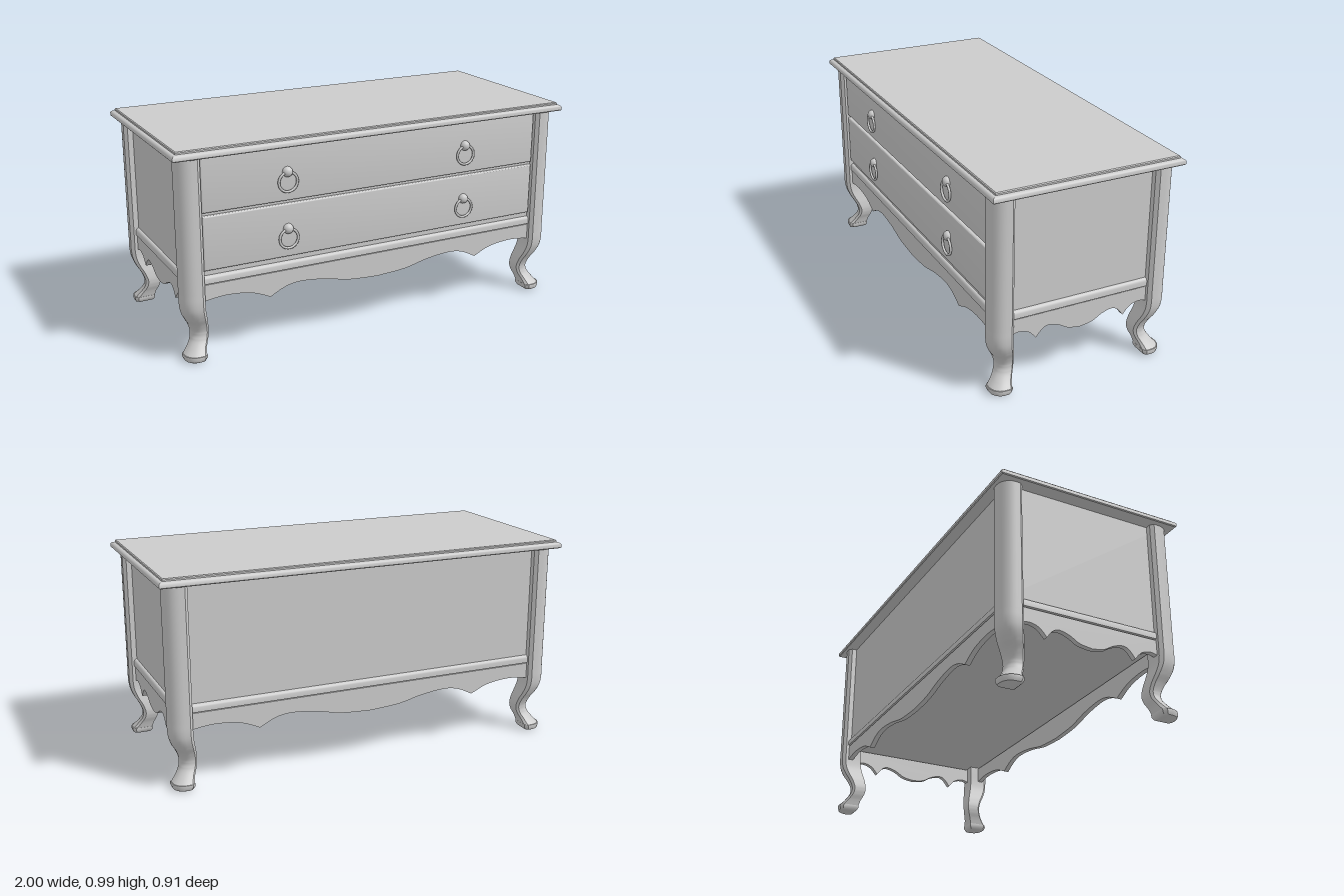
import * as THREE from 'three';
import { toCreasedNormals } from 'three/addons/utils/BufferGeometryUtils.js';

const material = new THREE.MeshStandardMaterial({ color: 0xcccccc });

function add(parent, name, geometry, x = 0, y = 0, z = 0) {
  const mesh = new THREE.Mesh(geometry, material);
  mesh.name = name;
  mesh.position.set(x, y, z);
  parent.add(mesh);
  return mesh;
}

// Skin over rings of [x, y, z] points, rising in y, each counter-clockwise from above
function loft(rings) {
  const n = rings[0].length, index = [];
  for (let i = 0; i < rings.length - 1; i++) {
    for (let j = 0; j < n; j++) {
      const a = i * n + j, b = i * n + (j + 1) % n;
      index.push(a, b, b + n, a, b + n, a + n);
    }
  }
  const top = (rings.length - 1) * n;
  for (let j = 1; j < n - 1; j++) {
    index.push(0, j + 1, j, top, top + j, top + j + 1);
  }
  const geometry = new THREE.BufferGeometry();
  geometry.setAttribute('position', new THREE.Float32BufferAttribute(rings.flat(2), 3));
  geometry.setIndex(index);
  return toCreasedNormals(geometry, 0.6);
}

// Rectangular slab with a moulded edge; profile lists [y, inset]
function mouldedSlab(hx, hz, profile) {
  return loft(profile.map(([y, d]) => {
    const x = hx - d, z = hz - d;
    return [[-x, y, -z], [-x, y, z], [x, y, z], [x, y, -z]];
  }));
}

// Leg section in a unit square: rounded outer corner, chamfered inner edges
const legSection = [[0, 0], [0, 0.85], [0.15, 1]];
for (let k = 0; k <= 6; k++) {
  const a = (Math.PI / 2) * (1 - k / 6);
  legSection.push([0.4 + 0.6 * Math.cos(a), 0.4 + 0.6 * Math.sin(a)]);
}
legSection.push([1, 0.15], [0.85, 0]);

// Ring of the leg section between an inner and an outer offset
const legRing = (inner, y, outer) =>
  legSection.map(([u, v]) => [inner + (outer - inner) * u, y, inner + (outer - inner) * v]);

function legGeometry() {
  // Points are (inner offset, height, outer offset)
  const curve = new THREE.CatmullRomCurve3([
    [-0.1, 0.03, -0.008], [-0.109, 0.06, -0.033], [-0.122, 0.09, -0.051],
    [-0.127, 0.12, -0.055], [-0.122, 0.16, -0.042], [-0.112, 0.2, -0.02],
    [-0.103, 0.24, -0.005], [-0.1, 0.28, 0], [-0.1, 0.33, 0],
  ].map(p => new THREE.Vector3(...p)));
  const rings = curve.getPoints(32).map(p => legRing(p.x, p.y, p.z));
  rings.push(legRing(-0.1, 0.95, 0));
  return loft(rings);
}

// Scalloped apron board, centred on x, with a cusp either side of the middle
function apronGeometry(half, thickness) {
  const arch = [[1, 0.28], [0.87, 0.293], [0.73, 0.28], [0.625, 0.242]];
  const wave = [[0.625, 0.242], [0.54, 0.278], [0.45, 0.29], [0.31, 0.277], [0.17, 0.25], [0, 0.24]];
  const spline = (points, steps) =>
    new THREE.SplineCurve(points.map(([t, y]) => new THREE.Vector2(t * half, y))).getPoints(steps);
  const right = [...spline(arch, 12), ...spline(wave, 20).slice(1)];
  const left = right.slice(0, -1).reverse().map(p => new THREE.Vector2(-p.x, p.y));
  const shape = new THREE.Shape([
    new THREE.Vector2(half, 0.358), ...right, ...left, new THREE.Vector2(-half, 0.358),
  ]);
  const geometry = new THREE.ExtrudeGeometry(shape, { depth: thickness, bevelEnabled: false });
  geometry.translate(0, 0, -thickness);
  return toCreasedNormals(geometry, 0.6);
}

// Drawer front with softened edges; its back lies at z = 0
function drawerGeometry(w, h, depth) {
  const b = 0.007, x = w / 2 - b, y = h / 2 - b;
  const shape = new THREE.Shape([[-x, -y], [x, -y], [x, y], [-x, y]].map(p => new THREE.Vector2(...p)));
  const geometry = new THREE.ExtrudeGeometry(shape, {
    depth: depth - 2 * b, bevelThickness: b, bevelSize: b, bevelSegments: 3,
  });
  geometry.translate(0, 0, b);
  return toCreasedNormals(geometry, 0.6);
}

export function createModel() {
  const model = new THREE.Group();
  model.name = 'lowChestOfDrawers';

  // Top board with stepped, rounded edge
  add(model, 'top', mouldedSlab(1, 0.455, [
    [0.945, 0.004], [0.949, 0], [0.963, 0], [0.968, 0.003], [0.972, 0.009],
    [0.974, 0.018], [0.981, 0.018], [0.985, 0.022],
  ]));

  // Carcass and the moulded rail around its foot
  add(model, 'body', new THREE.BoxGeometry(1.86, 0.55, 0.79), 0, 0.673, 0);
  add(model, 'baseRail', mouldedSlab(0.945, 0.41, [
    [0.363, 0], [0.385, 0], [0.391, 0.002], [0.396, 0.006], [0.399, 0.012], [0.4, 0.017],
  ]));

  // Cabriole legs, turned to each corner
  const leg = legGeometry();
  const foot = loft([
    legRing(-0.086, 0, -0.016), legRing(-0.093, 0.004, -0.009),
    legRing(-0.101, 0.018, -0.003), legRing(-0.101, 0.03, -0.004),
  ]);
  [[1, 1], [1, -1], [-1, -1], [-1, 1]].forEach(([sx, sz], k) => {
    const group = new THREE.Group();
    group.name = (sz > 0 ? 'front' : 'back') + (sx > 0 ? 'Left' : 'Right') + 'Leg';
    group.position.set(sx * 0.97, 0, sz * 0.435);
    group.rotation.y = k * Math.PI / 2;
    add(group, 'legPost', leg);
    add(group, 'foot', foot);
    model.add(group);
  });

  // Scalloped aprons on all four sides
  const longApron = apronGeometry(0.885, 0.025), shortApron = apronGeometry(0.35, 0.025);
  add(model, 'frontApron', longApron, 0, 0, 0.405);
  add(model, 'backApron', longApron, 0, 0, -0.405).rotation.y = Math.PI;
  add(model, 'leftApron', shortApron, 0.94, 0, 0).rotation.y = Math.PI / 2;
  add(model, 'rightApron', shortApron, -0.94, 0, 0).rotation.y = -Math.PI / 2;

  // Drawers with knobs and ring pulls
  const front = drawerGeometry(1.732, 0.25, 0.025);
  const knob = new THREE.SphereGeometry(0.024, 20, 14);
  knob.scale(1, 1, 0.95);
  const ring = new THREE.TorusGeometry(0.045, 0.006, 10, 36);
  [['upperDrawer', 0.815], ['lowerDrawer', 0.55]].forEach(([name, y]) => {
    const drawer = new THREE.Group();
    drawer.name = name;
    drawer.position.set(0, y, 0.387);
    add(drawer, 'drawerFront', front);
    for (const x of [-0.465, 0.465]) {
      add(drawer, 'knob', knob, x, 0.01, 0.028);
      add(drawer, 'ringPull', ring, x, -0.035, 0.036);
    }
    model.add(drawer);
  });

  return model;
}
